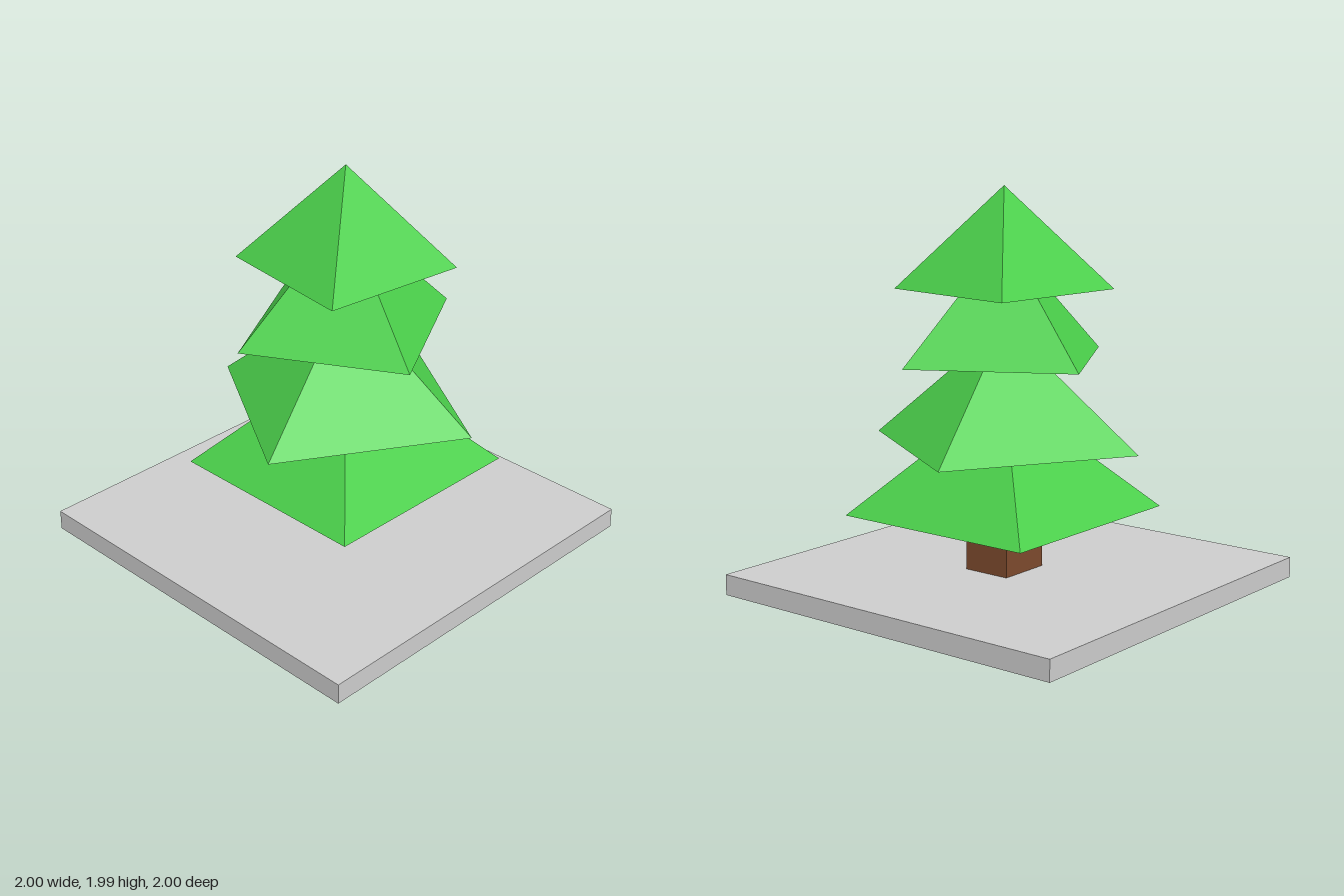
import * as THREE from 'three';

// Box without its underside, spanning y0 to y1
function openBox(w, d, y0, y1) {
  const geo = new THREE.BoxGeometry(w, y1 - y0, d);
  const index = Array.from(geo.index.array);
  index.splice(18, 6); // bottom face
  geo.setIndex(index);
  geo.clearGroups();
  geo.translate(0, (y0 + y1) / 2, 0);
  return geo;
}

// Open four-sided pyramid; angle (degrees) is the direction of one corner from +x towards +z
function pyramid(radius, y0, y1, angle) {
  const start = THREE.MathUtils.degToRad(90 - angle);
  const geo = new THREE.ConeGeometry(radius, y1 - y0, 4, 1, true, start);
  geo.translate(0, (y0 + y1) / 2, 0);
  return geo;
}

export function createModel() {
  const material = (name, color) => new THREE.MeshStandardMaterial({
    name, color, flatShading: true, side: THREE.DoubleSide,
  });
  const grey = material('ground grey', 0xcccccc);
  const brown = material('bark brown', 0x7c4a2d);
  const green = material('needle green', 0x4bd04b);

  const model = new THREE.Group();
  model.name = 'pineTree';
  const add = (parent, name, geo, mat) => {
    const mesh = new THREE.Mesh(geo, mat);
    mesh.name = name;
    parent.add(mesh);
    return mesh;
  };

  // Ground slab, hollow underneath
  add(model, 'groundSlab', openBox(2, 2, 0, 0.104), grey);

  // Tree stands slightly off centre
  const tree = new THREE.Group();
  tree.name = 'tree';
  tree.position.set(0.046, 0, 0.017);
  model.add(tree);
  add(tree, 'trunk', openBox(0.284, 0.254, 0.05, 0.6), brown);

  // Foliage tiers from the bottom up: radius, base, tip, corner angle
  const tiers = [
    [0.781, 0.393, 0.985, 45],
    [0.705, 0.735, 1.325, 76.3],
    [0.588, 1.158, 1.745, 15.3],
    [0.531, 1.495, 1.993, 52.2],
  ];
  tiers.forEach(([r, y0, y1, angle], i) => {
    const tier = add(tree, `foliageTier${i + 1}`, pyramid(r, y0, y1, angle), green);
    if (i === 0) tier.scale.set(1.013, 1, 0.987); // lowest tier is slightly wider than deep
  });

  return model;
}
